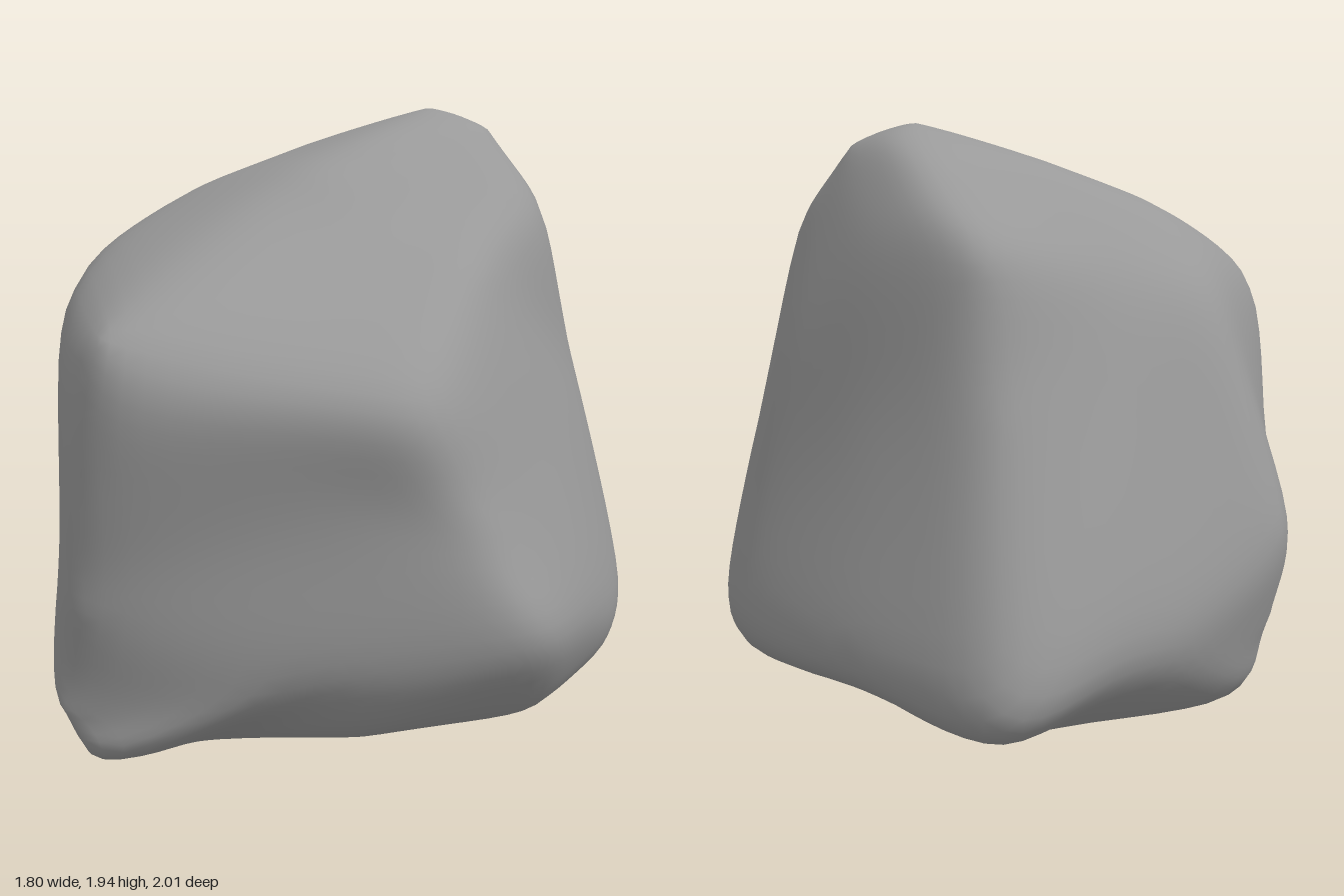
import * as THREE from 'three';
import { ConvexGeometry } from 'three/addons/geometries/ConvexGeometry.js';

const CENTRE = new THREE.Vector3(0, 0.9, 0);

// Points the boulder's surface passes through, grouped by region
const SURFACE = [
  // underside
  [0.05, 0.08, 0], [-0.43, 0, 0.48], [-0.05, 0.1, -0.5], [0.58, 0.1, 0.46], [0.1, 0.1, 0.72],
  [-0.69, 0.05, 0.8], [-0.75, 0.12, -0.2],
  // lower edge
  [0, 0.34, -0.99], [0.44, 0.3, -0.61], [0.89, 0.45, -0.09], [0.8, 0.18, 0.05], [0.79, 0.42, 0.45],
  [0.56, 0.42, 0.87], [-0.1, 0.3, 0.91], [-0.76, 0.2, 0.83], [-0.45, 0.4, -0.72], [-0.85, 0.4, -0.28],
  // sides
  [0, 1.12, -0.75], [0.43, 0.95, -0.49], [0.75, 1.1, -0.14], [0.67, 0.95, 0.35],
  [0.47, 0.78, 0.85], [0.02, 0.8, 0.94], [-0.67, 0.52, 0.92], [-0.66, 0.92, 0.96],
  [-0.82, 0.62, 0.5], [-0.88, 0.8, -0.02], [-0.86, 0.72, -0.42], [-0.46, 0.95, -0.58],
  // shoulder
  [0.3, 1.13, 0.92], [-0.15, 1.2, 0.97], [-0.6, 1.3, 0.95], [-0.83, 1.38, 0.27],
  [-0.68, 1.36, -0.28], [-0.34, 1.5, -0.42], [0.08, 1.55, -0.66], [0.42, 1.57, -0.45],
  [0.6, 1.66, 0.01], [0.47, 1.43, 0.43],
  // top
  [0.26, 1.94, -0.22], [0.46, 1.87, -0.17], [0.2, 1.81, -0.48], [0, 1.79, 0.19],
  [0.15, 1.54, 0.46], [-0.27, 1.63, 0.42], [-0.5, 1.67, -0.02], [-0.15, 1.81, -0.2],
].map((p) => new THREE.Vector3(...p));

// Joins the points by the hull of their directions from the centre
function joinPoints(points) {
  const dirs = points.map((p) => p.clone().sub(CENTRE).normalize());
  const pos = new ConvexGeometry(dirs).attributes.position;
  const v = new THREE.Vector3();
  const index = [];
  for (let i = 0; i < pos.count; i++) {
    v.fromBufferAttribute(pos, i);
    let best = 0;
    dirs.forEach((d, k) => {
      if (d.distanceToSquared(v) < dirs[best].distanceToSquared(v)) best = k;
    });
    index.push(best);
  }
  return index;
}

// Splits every triangle into four
function subdivide(points, index) {
  const mids = new Map();
  const mid = (a, b) => {
    const key = Math.min(a, b) + '_' + Math.max(a, b);
    if (!mids.has(key)) {
      mids.set(key, points.length);
      points.push(points[a].clone().lerp(points[b], 0.5));
    }
    return mids.get(key);
  };
  const out = [];
  for (let i = 0; i < index.length; i += 3) {
    const [a, b, c] = index.slice(i, i + 3);
    const ab = mid(a, b), bc = mid(b, c), ca = mid(c, a);
    out.push(a, ab, ca, ab, b, bc, ca, bc, c, ab, bc, ca);
  }
  return out;
}

// Moves each point part of the way to the mean of its neighbours
function smooth(points, index, times) {
  const near = points.map(() => new Set());
  for (let i = 0; i < index.length; i += 3) {
    for (let k = 0; k < 3; k++) {
      const a = index[i + k], b = index[i + ((k + 1) % 3)];
      near[a].add(b);
      near[b].add(a);
    }
  }
  for (let t = 0; t < times; t++) {
    const means = near.map((set) => {
      const m = new THREE.Vector3();
      set.forEach((n) => m.add(points[n]));
      return m.divideScalar(set.size);
    });
    points.forEach((p, i) => p.lerp(means[i], 0.5));
  }
}

// Rounded skin over a cage; its first points belong to the cage corners
function roundedSkin(cage, faces) {
  const points = cage.map((p) => p.clone());
  let index = faces;
  for (const times of [0, 2, 4]) {
    index = subdivide(points, index);
    smooth(points, index, times);
  }
  return { points, index };
}

export function createModel() {
  const faces = joinPoints(SURFACE);
  const cage = SURFACE.map((p) => p.clone());

  // Push the cage outwards until the rounded skin meets the surface points
  for (let pass = 0; pass < 3; pass++) {
    const { points } = roundedSkin(cage, faces);
    cage.forEach((c, i) => c.addScaledVector(SURFACE[i].clone().sub(points[i]), 0.8));
  }

  const { points, index } = roundedSkin(cage, faces);
  const geometry = new THREE.BufferGeometry().setFromPoints(points);
  geometry.setIndex(index);
  geometry.computeVertexNormals();

  const boulder = new THREE.Mesh(geometry, new THREE.MeshStandardMaterial({ color: 0x999999 }));
  boulder.name = 'boulder';
  const group = new THREE.Group();
  group.name = 'rock';
  group.add(boulder);
  return group;
}
